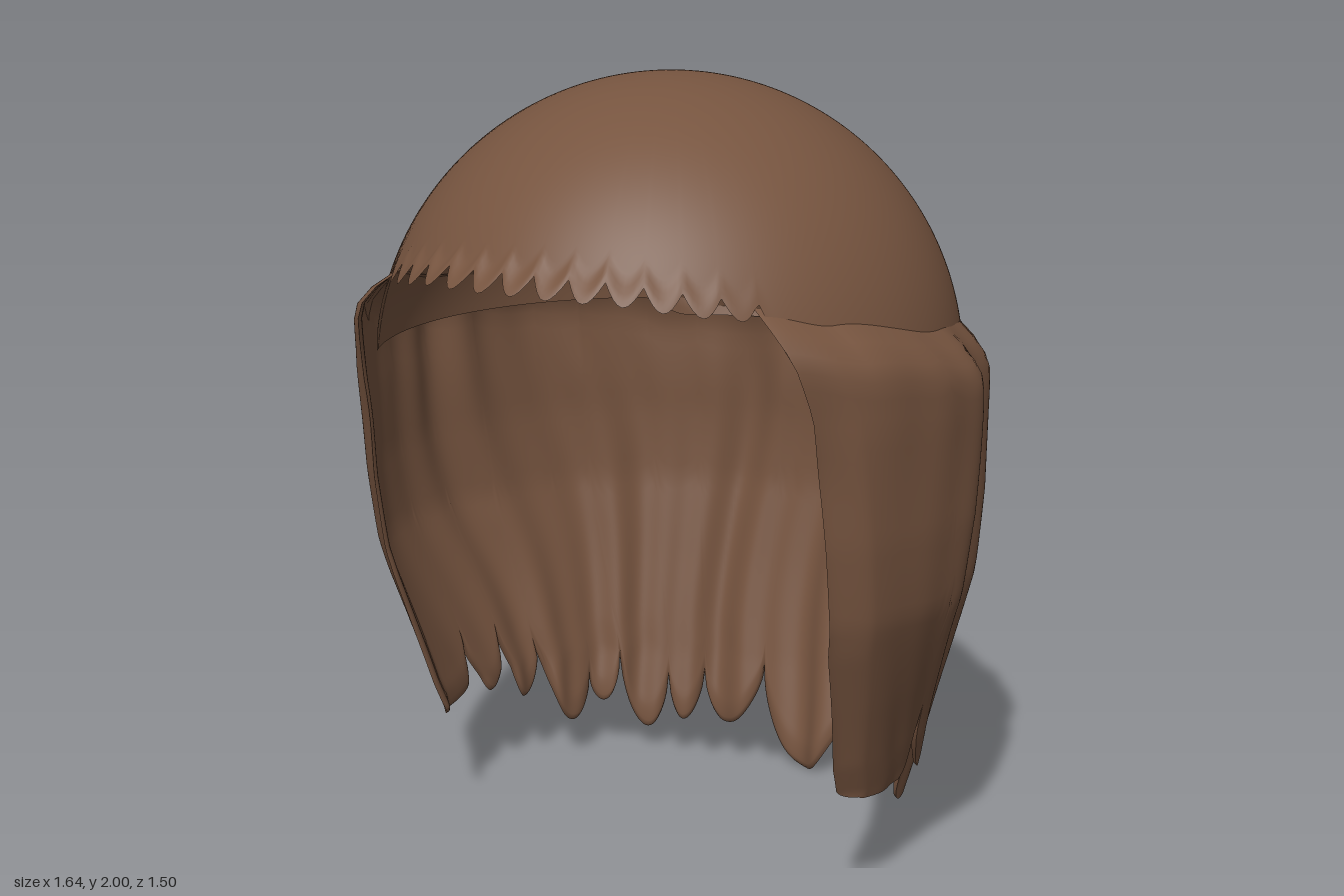
import * as THREE from 'three';

const RAD = Math.PI / 180;
const DOME_R = 0.73, DOME_Y = 1.27, CZ = 0.03;
const { lerp, smoothstep, clamp } = THREE.MathUtils;

// Piecewise interpolation of [key, value] pairs; shape() eases each interval
function curve(points, k, shape = (t) => t) {
  if (k <= points[0][0]) return points[0][1];
  for (let i = 1; i < points.length; i++) {
    const [k0, v0] = points[i - 1], [k1, v1] = points[i];
    if (k <= k1) return lerp(v0, v1, shape((k - k0) / (k1 - k0), v0, v1));
  }
  return points[points.length - 1][1];
}
const soft = (t) => t * t * (3 - 2 * t);

// Grid surface; fn(u, v) gives a point, columns run round, rows run down
function grid(cols, rows, fn, { wrap = false, flip = false } = {}) {
  const pos = [], idx = [], n = wrap ? cols : cols + 1;
  for (let j = 0; j <= rows; j++)
    for (let i = 0; i < n; i++) pos.push(...fn(i / cols, j / rows));
  for (let j = 0; j < rows; j++)
    for (let i = 0; i < cols; i++) {
      const a = j * n + i, b = j * n + ((i + 1) % n), c = a + n, d = b + n;
      if (flip) idx.push(a, b, c, b, d, c);
      else idx.push(a, c, b, b, c, d);
    }
  const g = new THREE.BufferGeometry();
  g.setAttribute('position', new THREE.Float32BufferAttribute(pos, 3));
  g.setIndex(idx);
  g.computeVertexNormals();
  return g;
}

// Point at angle a (degrees from the front, towards +x), radius r, height y
const polar = (a, r, y) => [r * Math.sin(a * RAD), y, CZ + r * Math.cos(a * RAD)];

// Swollen lock in the middle of the back of the crown, pinched in at its foot
function bump(a, y) {
  const d = ((a - 183) / 37) ** 2 + ((y - 1.5) / 0.29) ** 2;
  return d < 1 ? Math.pow(1 - d, 1.1) : 0;
}
const underBump = (a) => 1 - smoothstep(Math.abs(a - 183), 24, 34);

// Crown: dome with a scalloped fringe in front, tucked under the curtain behind
function crownPoint(u, v) {
  const a = u * 360, f = Math.min(a, 360 - a);
  const isFringe = 1 - smoothstep(f, 46, 49);
  const tooth = Math.abs(Math.cos((f / 7.2) * Math.PI));
  const hem = curve([[0, 1.56], [20, 1.555], [40, 1.52], [48, 1.51], [57, 1.31], [140, 1.3], [180, 1.3]], f)
    + isFringe * 0.045 * (1 - tooth) - 0.05 * underBump(a);
  const phi = v * Math.acos((hem - DOME_Y) / DOME_R);
  const y = DOME_Y + DOME_R * Math.cos(phi);
  const flare = isFringe * smoothstep(v, 0.92, 1) * (0.012 + 0.014 * tooth) * (1 - smoothstep(f, 15, 55));
  const forward = 1 + 0.03 * Math.max(0, Math.cos(a * RAD)) ** 2;
  return polar(a, DOME_R * Math.sin(phi) * forward + flare + 0.06 * bump(a, y), y);
}

// Height of the curtain's ragged lower edge: alternating tips and notches
const HEM = [
  [71, 0.31], [76, 0.285], [92, 0.27], [96.5, 0.48], [102, 0.27], [107, 0.44], [114, 0.12],
  [119, 0.34], [125, 0.12], [136, 0.31], [147, 0.09], [158, 0.26], [168.5, 0], [185, 0.26],
  [195.5, 0.08], [201.5, 0.22], [207, 0.09], [211, 0.21], [217, 0.07], [224, 0.28], [229, 0.15],
  [232, 0.22], [238, 0.11], [246, 0.34], [251, 0.2], [256, 0.4], [262, 0.25], [267, 0.42],
  [272, 0.28], [284, 0.27], [289, 0.31],
];
const tipShape = (t, v0, v1) =>
  v0 > v1 ? Math.pow(Math.sin(t * Math.PI / 2), 0.55) : 1 - Math.pow(Math.cos(t * Math.PI / 2), 0.55);

const TOP = [[46, 1.54], [60, 1.5], [90, 1.43], [130, 1.38], [180, 1.37]];
const FRONT_EDGE = [[0.3, 71], [0.38, 68], [0.7, 61], [1.1, 57], [1.3, 54.5], [1.42, 51], [1.54, 46]];
const RADIUS = [[0, 0.57], [0.28, 0.645], [0.55, 0.71], [0.78, 0.763], [0.98, 0.78], [1.25, 0.785], [1.6, 0.77]];

// Curtain of hair round the sides and back; inset moves inwards for the lining
function curtainPoint(u, v, inset) {
  const b = lerp(71, 289, u), fb = Math.min(b, 360 - b);
  const top = curve(TOP, lerp(46, 180, (fb - 71) / 109), soft) - 0.05 * underBump(b);
  const y = lerp(top, curve(HEM, b, tipShape), 1 - Math.pow(1 - v, 1.25) * (1 - 0.35 * v));
  const edge = curve(FRONT_EDGE, y);
  const a = 180 + (b - 180) * (180 - edge) / 109;

  // Long wavy folds that fade towards the smooth front panels and the lip at the back
  const s = b + 3.5 * Math.sin(y * 4.2 + b * 0.05);
  const folds = 0.011 * Math.sin(s * 0.33) + 0.007 * Math.sin(s * 0.55 + 1.3) + 0.007 * Math.sin(s * 0.19 + 2);
  const rear = smoothstep(fb, 130, 170);
  const calm = (smoothstep(fb, 80, 108) * 0.85 + 0.15) * (1 - 0.7 * smoothstep(y, 1.05, 1.3) * smoothstep(fb, 110, 150));
  const side = 0.025 * Math.exp(-(((fb - 95) / 22) ** 2)) * smoothstep(y, 0.4, 0.9);
  const tuck = (0.035 - 0.025 * smoothstep(y, 1.1, 1.45)) * (1 - smoothstep(fb, 71, 78));
  const back = 0.018 * rear * smoothstep(y, 0.85, 1.2);
  const full = curve(RADIUS, y) + folds * calm + side - tuck - back;

  // Rounded lip where the curtain leaves the crown
  const h = clamp((top - y) / 0.13, 0, 1);
  const dome = Math.sqrt(Math.max(0, DOME_R ** 2 - (y - DOME_Y) ** 2)) - 0.006;
  const r = lerp(dome, Math.max(full, y > DOME_Y ? dome : 0), Math.sin(h * Math.PI / 2));
  const rim = Math.min(1, Math.min(u, 1 - u) * 40, (1 - v) * 8, v * 6);
  return polar(a, r - inset * Math.sqrt(Math.max(0, rim)), y);
}

export function createModel() {
  const hair = new THREE.MeshStandardMaterial({ color: 0x76543f, side: THREE.DoubleSide });
  hair.name = 'brown hair';
  const group = new THREE.Group();
  group.name = 'wig';
  const add = (name, geometry) => {
    const mesh = new THREE.Mesh(geometry, hair);
    mesh.name = name;
    group.add(mesh);
  };
  add('crownWithFringe', grid(400, 60, crownPoint, { wrap: true }));
  add('hairCurtain', grid(436, 44, (u, v) => curtainPoint(u, v, 0)));
  add('curtainLining', grid(436, 44, (u, v) => curtainPoint(u, v, 0.022), { flip: true }));
  return group;
}
